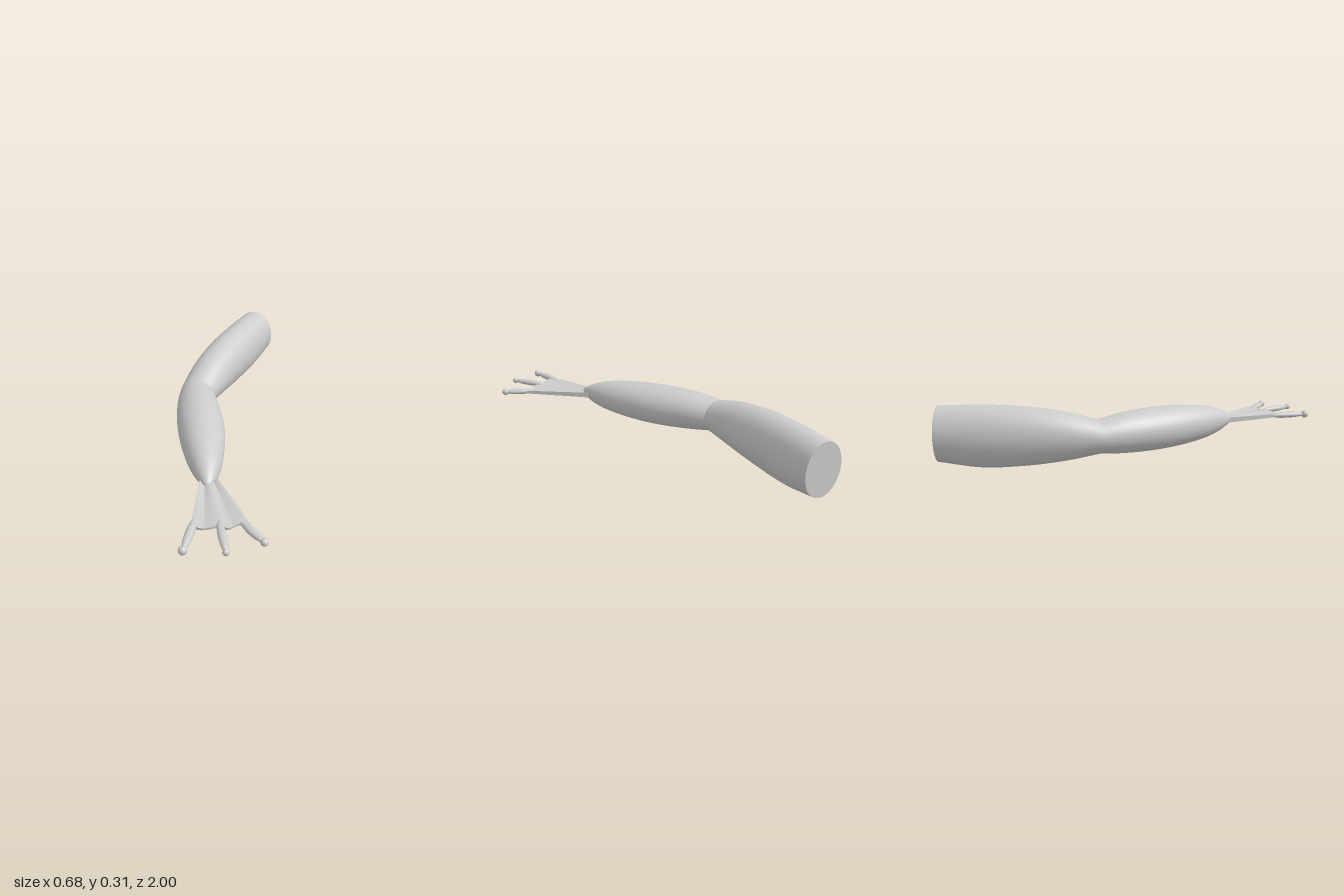
import * as THREE from 'three';

const mat = new THREE.MeshStandardMaterial({ color: 0xcccccc, roughness: 0.8 });

function add(group, name, geometry) {
  const mesh = new THREE.Mesh(geometry, mat);
  mesh.name = name;
  group.add(mesh);
  return mesh;
}

// Smooth limb through elliptical sections: [leftX, leftZ, rightX, rightZ, bottomY, topY]
function limb(sections, rings = 28, sides = 40) {
  const left = new THREE.CatmullRomCurve3(sections.map(s => new THREE.Vector3(s[0], s[4], s[1])));
  const right = new THREE.CatmullRomCurve3(sections.map(s => new THREE.Vector3(s[2], s[5], s[3])));
  const pos = [], idx = [];
  for (let i = 0; i <= rings; i++) {
    const a = left.getPoint(i / rings), b = right.getPoint(i / rings);
    for (let j = 0; j < sides; j++) {
      const t = (j / sides) * Math.PI * 2, c = (1 + Math.cos(t)) / 2, s = (1 + Math.sin(t)) / 2;
      pos.push(a.x + (b.x - a.x) * c, a.y + (b.y - a.y) * s, a.z + (b.z - a.z) * c);
      if (i < rings) {
        const p = i * sides + j, q = i * sides + (j + 1) % sides;
        idx.push(p, q, q + sides, p, q + sides, p + sides);
      }
    }
  }
  const g = new THREE.BufferGeometry();
  g.setAttribute('position', new THREE.Float32BufferAttribute(pos, 3));
  g.setIndex(idx);
  g.computeVertexNormals();
  return g;
}

// Flat elliptical lid closing the first section of a limb
function lid([lx, lz, rx, rz, y0, y1], sides = 40) {
  const g = new THREE.CircleGeometry(1, sides);
  g.scale(Math.hypot(rx - lx, rz - lz) / 2, (y1 - y0) / 2, 1);
  g.rotateY(Math.PI - Math.atan2(rz - lz, rx - lx));
  g.translate((lx + rx) / 2, (y0 + y1) / 2, (lz + rz) / 2);
  return g;
}

// Thin webbing: a box fanned from the ankle to a scalloped front edge, ridged along the toes
function webbing() {
  const front = new THREE.CatmullRomCurve3([
    [-0.01, 0.82], [0.03, 0.835], [0.08, 0.82], [0.115, 0.8],
    [0.15, 0.81], [0.195, 0.77], [0.24, 0.765],
  ].map(([x, z]) => new THREE.Vector3(x, 0, z)));
  const g = new THREE.BoxGeometry(1, 1, 1, 24, 1, 10).toNonIndexed();
  const p = g.attributes.position;
  for (let i = 0; i < p.count; i++) {
    const u = p.getX(i) + 0.5, v = p.getZ(i) + 0.5, top = p.getY(i) > 0;
    const f = front.getPoint(u);
    const hx = -0.045 + 0.075 * u, hz = 0.52 - 0.03 * u;
    const ridge = Math.abs(Math.cos(u * Math.PI * 2));
    const y = top ? 0.158 + 0.01 * ridge * (1 - 0.3 * v) : 0.14 + 0.009 * v;
    p.setXYZ(i, hx + (f.x - hx) * v, y, hz + (f.z - hz) * v);
  }
  g.computeVertexNormals();
  return g;
}

export function createModel() {
  const group = new THREE.Group();
  group.name = 'webbedLeg';

  // Upper limb with its cut end
  const knee = [-0.34, -0.22, -0.15, -0.215, 0.07, 0.237];
  const upper = [
    [-0.175, -1, 0.04, -0.95, 0.027, 0.303],
    [-0.25, -0.77, -0.005, -0.77, 0.003, 0.31],
    [-0.302, -0.56, -0.06, -0.56, 0.014, 0.303],
    [-0.33, -0.38, -0.108, -0.38, 0.038, 0.278],
    knee,
  ];
  add(group, 'upperLimb', limb(upper));
  add(group, 'upperLimbEnd', lid(upper[0]));

  // Lower limb tapering to the ankle
  add(group, 'lowerLimb', limb([
    knee,
    [-0.325, -0.1, -0.08, -0.06, 0.056, 0.258],
    [-0.28, 0.08, -0.015, 0.12, 0.05, 0.265],
    [-0.205, 0.27, 0.018, 0.29, 0.06, 0.254],
    [-0.125, 0.42, 0.031, 0.42, 0.084, 0.232],
    [-0.06, 0.51, 0.026, 0.5, 0.118, 0.2],
    [-0.02, 0.55, 0.015, 0.54, 0.142, 0.175],
    [-0.001, 0.555, 0.001, 0.555, 0.158, 0.16],
  ]));

  add(group, 'webbing', webbing());

  // Toes: [rootX, rootZ, tipX, tipZ, y, pad radius]
  [
    [0.0, 0.76, -0.003, 0.976, 0.157, 0.02],
    [0.105, 0.775, 0.177, 0.955, 0.164, 0.016],
    [0.2, 0.755, 0.32, 0.857, 0.157, 0.018],
  ].forEach(([x0, z0, x1, z1, y, r], i) => {
    const len = Math.hypot(x1 - x0, z1 - z0);
    const toe = add(group, 'toe' + (i + 1), new THREE.SphereGeometry(1, 20, 14).rotateX(Math.PI / 2));
    toe.scale.set(0.02, 0.016, len / 2);
    toe.position.set((x0 + x1) / 2, y, (z0 + z1) / 2);
    toe.rotation.y = Math.atan2(x1 - x0, z1 - z0);
    add(group, 'toePad' + (i + 1), new THREE.SphereGeometry(r, 20, 14)).position.set(x1, y, z1);
  });

  return group;
}
